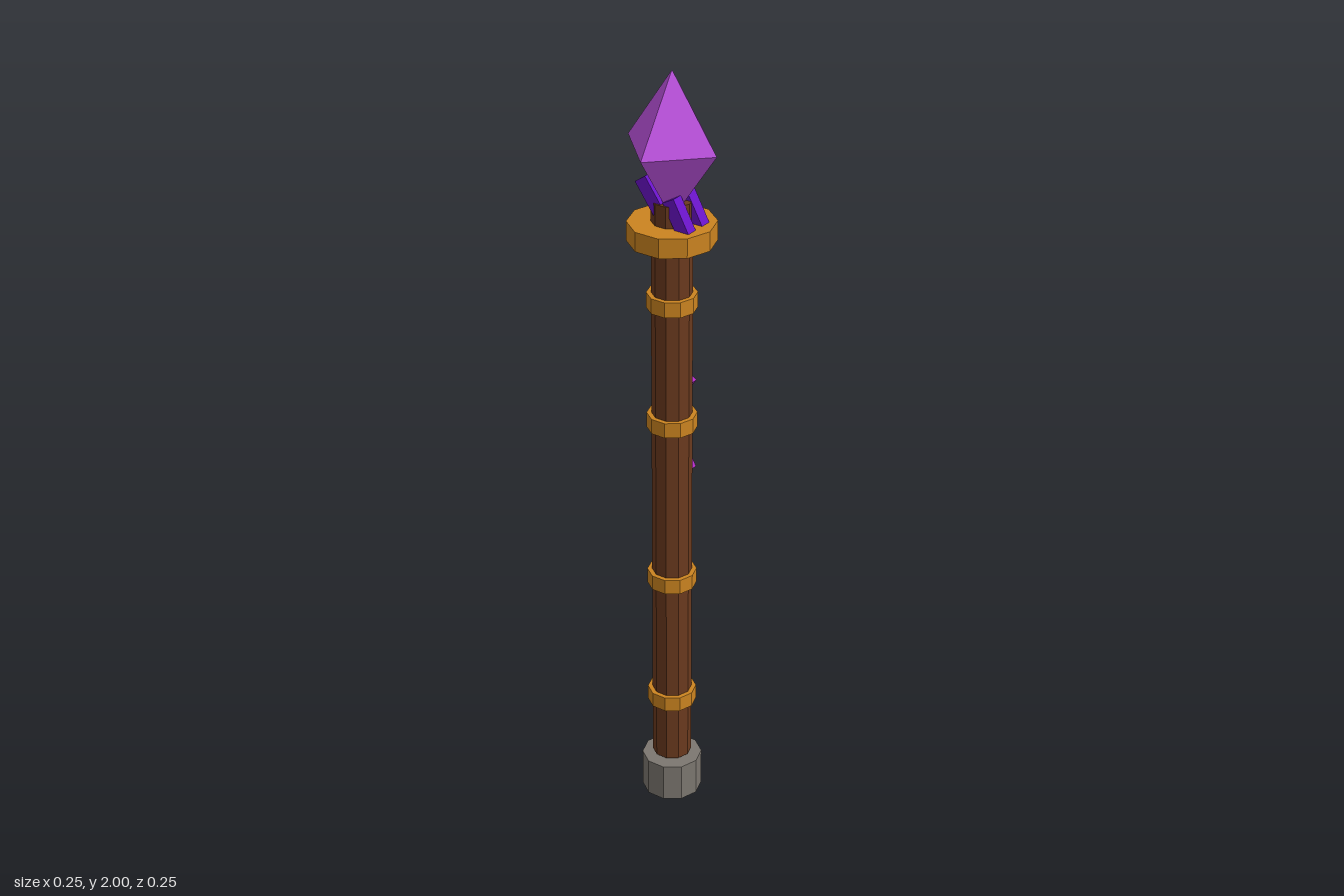
import * as THREE from 'three';

const material = (color) => new THREE.MeshStandardMaterial({ color, flatShading: true });

export function createModel() {
  const model = new THREE.Group();
  const wood = material(0x6b3a1e);
  const gold = material(0xcc8420);
  const steel = material(0x7c7770);
  const crystalPurple = material(0xbd52e0);
  const shardPurple = material(0x6a14c8);
  const runePurple = material(0xb02cc4);

  const add = (name, geometry, mat, x, y, z, tilt = 0) => {
    const mesh = new THREE.Mesh(geometry, mat);
    mesh.name = name;
    mesh.position.set(x, y, z);
    mesh.rotation.z = tilt;
    model.add(mesh);
    return mesh;
  };

  // Ten-sided drum with corners on the x axis
  const drum = (name, radius, bottom, top, mat) =>
    add(name, new THREE.CylinderGeometry(radius, radius, top - bottom, 10, 1, false, Math.PI / 2),
      mat, 0, (bottom + top) / 2, 0);

  // Staff body
  drum('pommel', 0.077, 0, 0.102, steel);
  drum('shaft', 0.05, 0.112, 1.68, wood);
  [0.29, 0.647, 1.095, 1.42].forEach((y, i) => drum(`band${i + 1}`, 0.062, y - 0.02, y + 0.02, gold));
  drum('collar', 0.108, 1.575, 1.625, gold);

  // Large head crystal
  const crystal = add('headCrystal', new THREE.OctahedronGeometry(1), crystalPurple, 0, 1.815, 0);
  crystal.scale.set(0.125, 0.185, 0.125);

  // Leaning shards that cradle the crystal
  const shard = new THREE.BoxGeometry(0.035, 0.09, 0.03);
  for (const z of [-0.028, 0.028]) {
    add('upperShard', shard, shardPurple, -0.035, 1.695, z, 0.62);
    add('lowerShard', shard, shardPurple, 0.04, 1.655, z, 0.5);
  }

  // Rune plates on the back of the shaft: height, width, length, tilt
  for (const [y, width, length, tilt] of [
    [1.32, 0.042, 0.08, 0],
    [1.168, 0.03, 0.07, -0.6],
    [0.972, 0.032, 0.075, 0.5],
  ]) {
    add('runePlate', new THREE.BoxGeometry(width, length, 0.016), runePurple, 0, y, -0.05, tilt);
  }

  return model;
}
